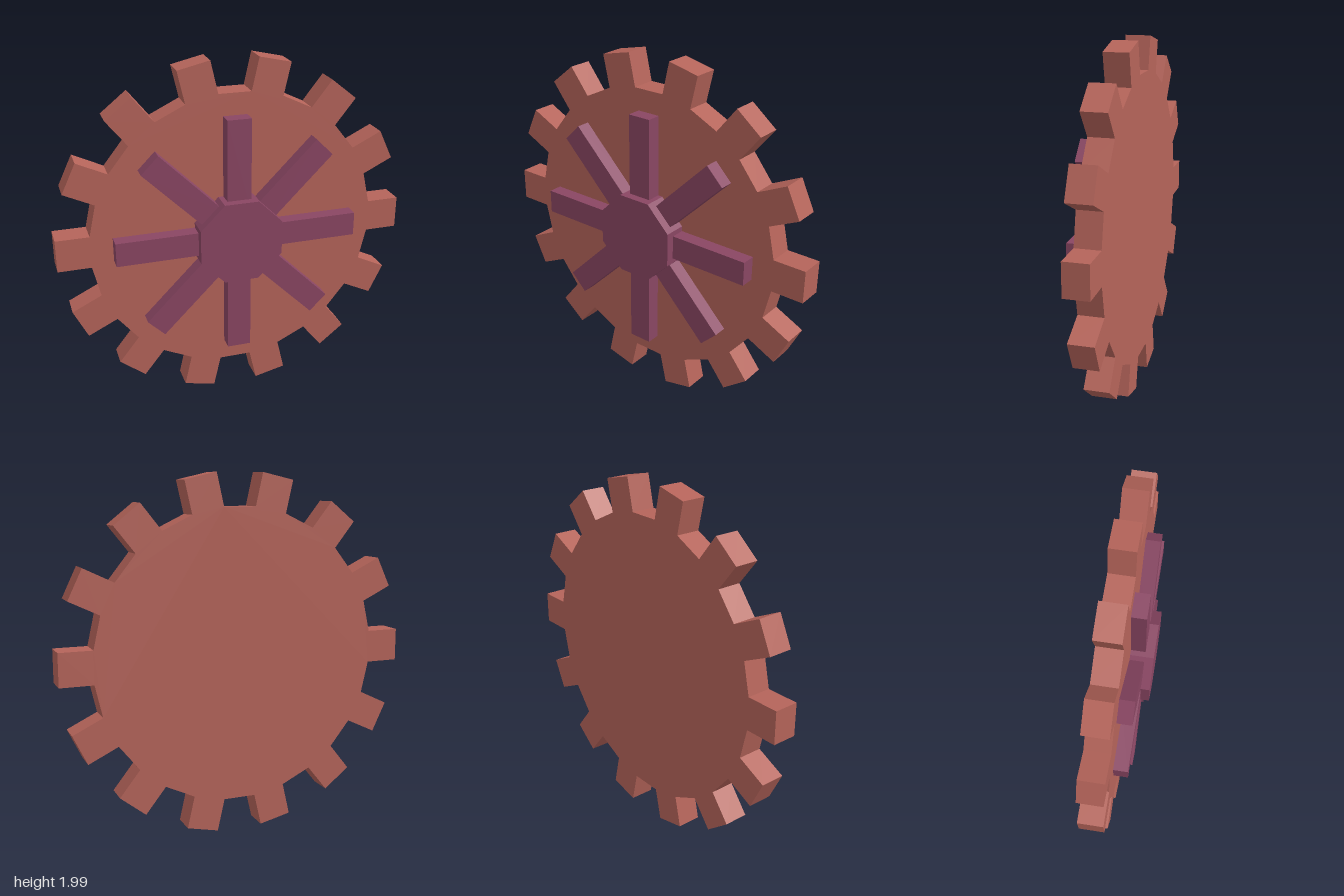
import * as THREE from 'three';

const CENTER_Y = 0.998;
const BACK = -0.135, DISC_FRONT = 0.004, SPOKE_FRONT = 0.084, HUB_FRONT = 0.132;

export function createModel() {
  const rust = new THREE.MeshStandardMaterial({ color: 0xb5645a });
  rust.name = 'rust red';
  const plum = new THREE.MeshStandardMaterial({ color: 0x8a4663 });
  plum.name = 'plum';

  const group = new THREE.Group();
  group.name = 'gearWheel';
  const add = (name, geometry, material) => {
    const mesh = new THREE.Mesh(geometry, material);
    mesh.name = name;
    mesh.position.y = CENTER_Y;
    group.add(mesh);
    return mesh;
  };
  // Extrude an outline between two depths
  const plate = (points, back, front) => new THREE.ExtrudeGeometry(new THREE.Shape(points),
    { depth: front - back, bevelEnabled: false }).translate(0, 0, back);

  // Toothed disc: 14 parallel-sided teeth joined by straight root edges
  const teeth = 14, rootRadius = 0.82, tip = 1;
  const halfAngle = Math.PI / (teeth * 2);
  const rootX = rootRadius * Math.cos(halfAngle), halfWidth = rootRadius * Math.sin(halfAngle);
  const outline = [];
  for (let i = 0; i < teeth; i++) {
    const angle = i * Math.PI * 2 / teeth;
    for (const [x, y] of [[rootX, -halfWidth], [tip, -halfWidth], [tip, halfWidth], [rootX, halfWidth]]) {
      outline.push(new THREE.Vector2(x, y).rotateAround(new THREE.Vector2(), angle));
    }
  }
  add('toothedDisc', plate(outline, BACK, DISC_FRONT), rust);

  // Eight raised spokes, set into the disc
  const inner = 0.15, outer = 0.692, spokeBack = -0.05;
  for (let i = 0; i < 8; i++) {
    const box = new THREE.BoxGeometry(outer - inner, 0.136, SPOKE_FRONT - spokeBack);
    box.translate((inner + outer) / 2, 0, (SPOKE_FRONT + spokeBack) / 2);
    add('spoke' + (i + 1), box, plum).rotation.z = i * Math.PI / 4;
  }

  // Octagonal hub with flats facing the spokes
  const hub = [];
  const hubRadius = 0.234 / Math.cos(Math.PI / 8);
  for (let i = 0; i < 8; i++) {
    const a = (i + 0.5) * Math.PI / 4;
    hub.push(new THREE.Vector2(hubRadius * Math.cos(a), hubRadius * Math.sin(a)));
  }
  add('hub', plate(hub, spokeBack, HUB_FRONT), plum);

  return group;
}
